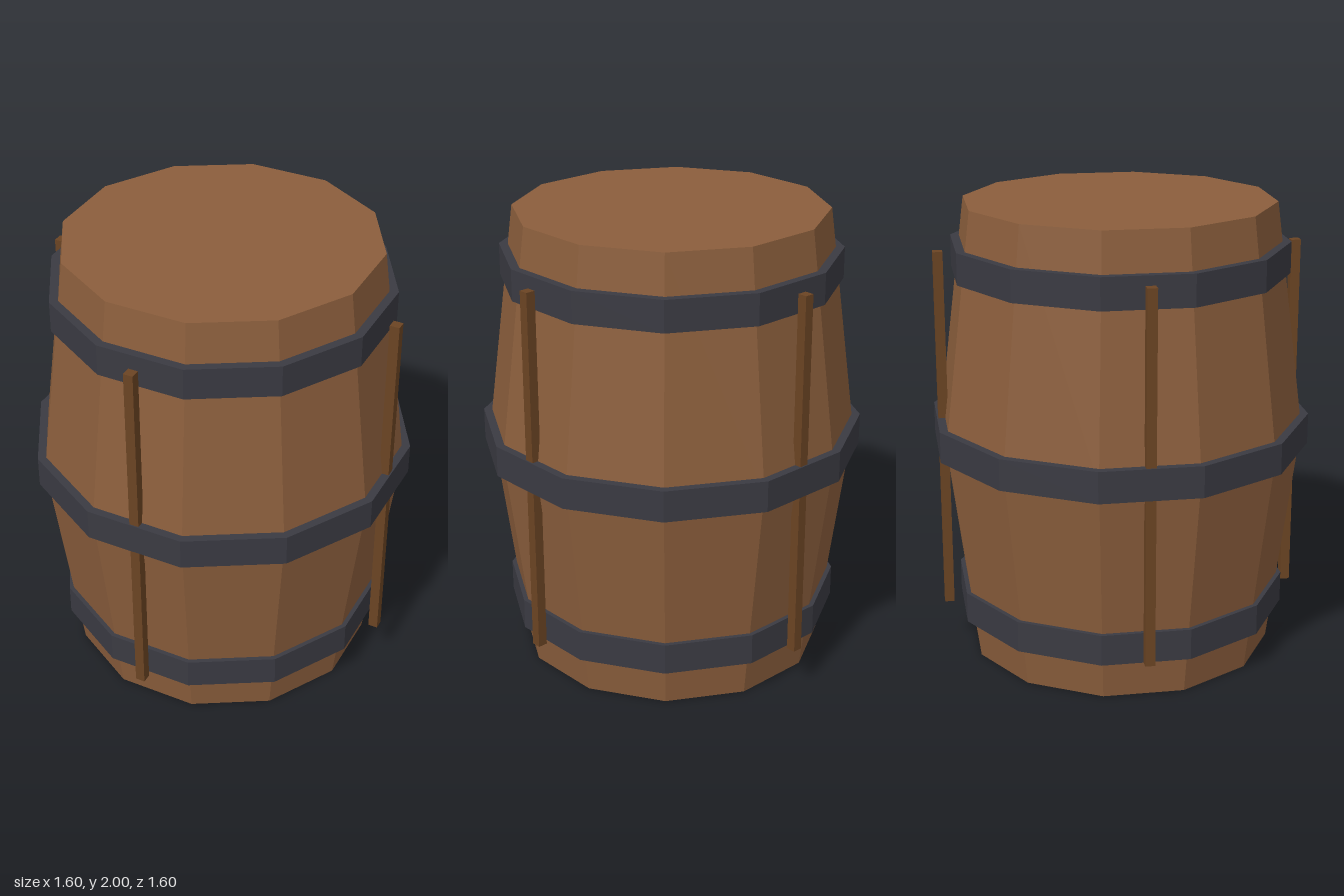
import * as THREE from 'three';

const SIDES = 12;
const FLAT = Math.cos(Math.PI / SIDES); // apothem to corner radius

const wood = new THREE.MeshStandardMaterial({ name: 'wood', color: 0x8b5e3c, flatShading: true });
const iron = new THREE.MeshStandardMaterial({ name: 'iron', color: 0x3a3a42, flatShading: true });
const darkWood = new THREE.MeshStandardMaterial({ name: 'dark wood', color: 0x6b4423, flatShading: true });

// Twelve-sided turned solid from [flat radius, height] pairs, with a flat facing the front
function turned(name, profile, material) {
  const points = profile.map(([r, y]) => new THREE.Vector2(r / FLAT, y));
  const geometry = new THREE.LatheGeometry(points, SIDES);
  geometry.rotateY(Math.PI / SIDES);
  const mesh = new THREE.Mesh(geometry, material);
  mesh.name = name;
  return mesh;
}

export function createModel() {
  const group = new THREE.Group();
  group.name = 'barrel';

  // Body with closed ends, widest at the middle
  group.add(turned('body', [[0, 0], [0.65, 0], [0.775, 1], [0.65, 2], [0, 2]], wood));

  // Iron hoops: height, inner and outer flat radius
  const h = 0.068;
  for (const [name, y, inner, outer] of [
    ['lowerHoop', 0.242, 0.64, 0.708],
    ['middleHoop', 1, 0.74, 0.802],
    ['upperHoop', 1.762, 0.64, 0.708],
  ]) {
    group.add(turned(name, [
      [inner, y - h], [outer, y - h], [outer, y + h], [inner, y + h], [inner, y - h],
    ], iron));
  }

  // Four upright battens, one per quarter turn
  for (let i = 0; i < 4; i++) {
    const angle = Math.PI / 6 + i * Math.PI / 2;
    const batten = new THREE.Mesh(new THREE.BoxGeometry(0.042, 1.6, 0.042), darkWood);
    batten.name = 'batten' + (i + 1);
    batten.position.set(Math.sin(angle) * 0.775, 1, Math.cos(angle) * 0.775);
    batten.rotation.y = angle;
    group.add(batten);
  }
  return group;
}
